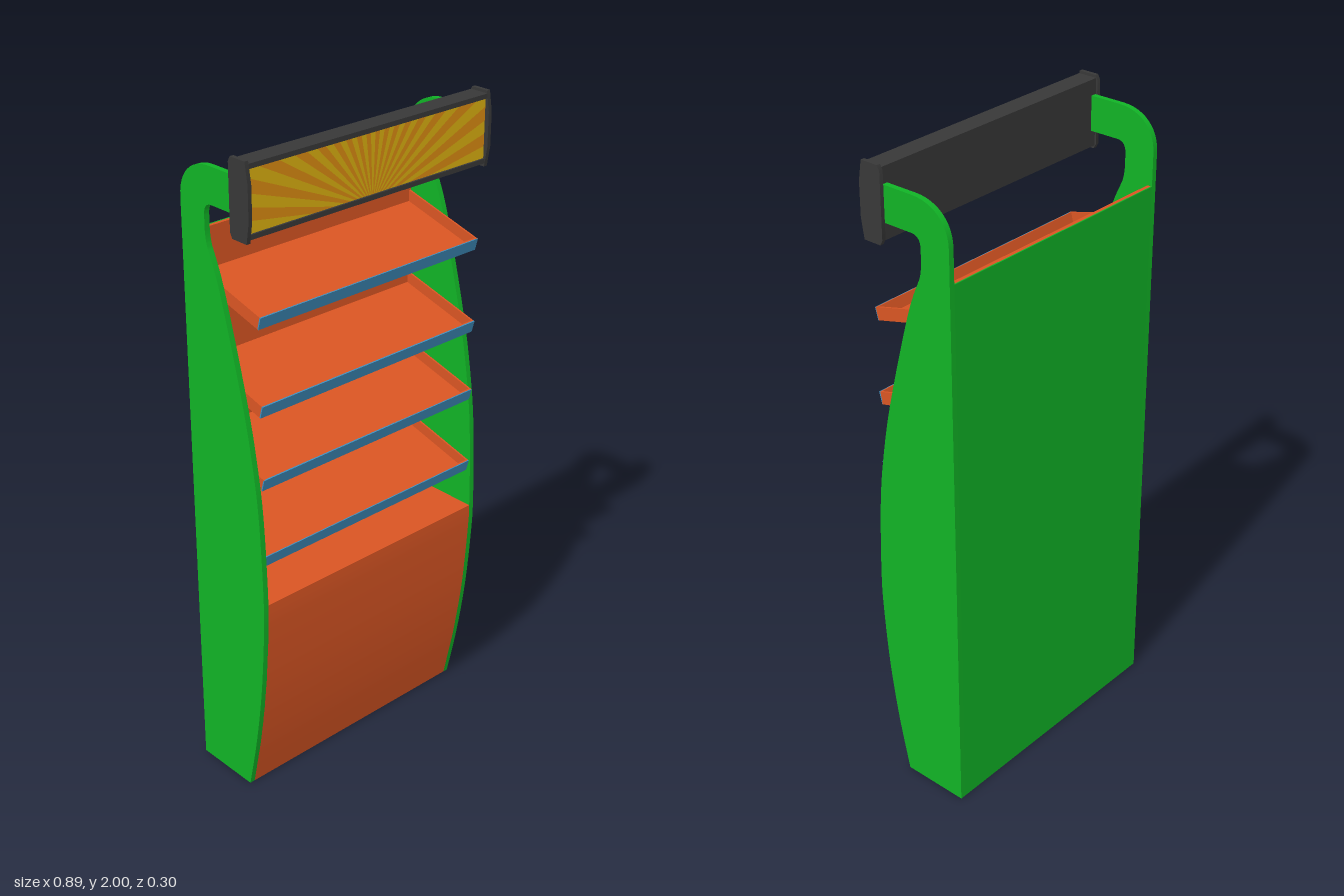
import * as THREE from 'three';
import { toCreasedNormals } from 'three/addons/utils/BufferGeometryUtils.js';

const mat = (name, color, side = THREE.FrontSide) => {
  const m = new THREE.MeshStandardMaterial({ color, side });
  m.name = name;
  return m;
};

export function createModel() {
  const green = mat('green', 0x11b326);
  const orange = mat('orange', 0xd95523);
  const blue = mat('blue', 0x3f90c0);
  const black = mat('charcoal', 0x383838);
  const gold = mat('gold', 0xdcb010, THREE.DoubleSide);
  const amber = mat('amber', 0xdc8c12, THREE.DoubleSide);

  const root = new THREE.Group();
  root.name = 'displayStand';
  const add = (parent, name, geo, material, x = 0, y = 0, z = 0) => {
    const mesh = new THREE.Mesh(geo, material);
    mesh.name = name;
    mesh.position.set(x, y, z);
    parent.add(mesh);
    return mesh;
  };
  const box = (parent, name, material, w, h, d, x, y, z) =>
    add(parent, name, new THREE.BoxGeometry(w, h, d), material, x, y, z);

  // Extrudes a (z, y) outline along x, centred on x = 0
  const extrudeX = (shape, width) => {
    const g = new THREE.ExtrudeGeometry(shape, { depth: width, bevelEnabled: false, curveSegments: 12 });
    g.translate(0, 0, -width / 2).rotateY(-Math.PI / 2);
    return toCreasedNormals(g, 0.5);
  };

  // Bowed front edge shared by the side panels and the base
  const edge = new THREE.SplineCurve([
    [0.065, 0], [0.102, 0.18], [0.13, 0.37], [0.146, 0.56], [0.15, 0.7], [0.139, 0.95],
    [0.118, 1.12], [0.08, 1.31], [0.002, 1.6], [-0.045, 1.72],
  ].map(([z, y]) => new THREE.Vector2(z, y))).getPoints(60);

  // Side panels, each ending in a hooked arm
  const side = new THREE.Shape();
  side.moveTo(-0.15, 0);
  edge.forEach(p => side.lineTo(p.x, p.y));
  side.quadraticCurveTo(-0.052, 1.745, -0.052, 1.77);
  side.lineTo(-0.052, 1.805);
  side.quadraticCurveTo(-0.052, 1.84, -0.02, 1.84);
  side.lineTo(0.08, 1.84);
  side.lineTo(0.08, 1.945);
  side.lineTo(-0.025, 1.945);
  side.bezierCurveTo(-0.1, 1.945, -0.15, 1.9, -0.15, 1.83);
  side.closePath();
  const sideGeo = extrudeX(side, 0.017);
  add(root, 'leftSidePanel', sideGeo, green, 0.4215);
  add(root, 'rightSidePanel', sideGeo, green, -0.4215);

  // Base cabinet
  const low = edge.filter(p => p.y < 0.675);
  const base = new THREE.Shape();
  base.moveTo(-0.14, 0);
  low.forEach(p => base.lineTo(p.x, p.y));
  base.lineTo(0.15, 0.682);
  base.lineTo(-0.14, 0.682);
  base.closePath();
  add(root, 'baseCabinet', extrudeX(base, 0.827), orange);

  // Back wall: orange inside, green outside
  box(root, 'backWall', orange, 0.827, 1.73, 0.012, 0, 0.865, -0.14);
  box(root, 'backCover', green, 0.827, 1.73, 0.005, 0, 0.865, -0.1475);

  // Sloping trays with rails and a blue front strip
  const tilt = 0.265, depth = 0.285;
  [1.57, 1.31, 1.085, 0.84].forEach((top, i) => {
    const tray = new THREE.Group();
    tray.name = `tray${i + 1}`;
    tray.position.set(0, top, 0.141);
    tray.rotation.x = tilt;
    root.add(tray);
    box(tray, 'trayFloor', orange, 0.82, 0.005, depth, 0, -0.0355, -depth / 2);
    for (const s of [-1, 1]) box(tray, 'trayRail', orange, 0.006, 0.038, depth, s * 0.408, -0.019, -depth / 2);
    box(tray, 'trayLip', orange, 0.81, 0.038, 0.005, 0, -0.019, -0.0035);
    box(tray, 'frontStrip', blue, 0.822, 0.038, 0.004, 0, -0.019, 0);
  });

  // Header sign housing with chamfered end caps
  const sign = new THREE.Group();
  sign.name = 'headerSign';
  root.add(sign);
  box(sign, 'signHousing', black, 0.866, 0.2, 0.054, 0, 1.89, 0.102);
  for (const y of [1.797, 1.985]) box(sign, 'signFrame', black, 0.866, 0.014, 0.062, 0, y, 0.106);
  const cap = new THREE.Shape([
    [0.078, 1.78], [0.135, 1.78], [0.145, 1.84], [0.145, 1.94], [0.135, 2], [0.078, 2], [0.07, 1.985], [0.07, 1.795],
  ].map(([z, y]) => new THREE.Vector2(z, y)));
  const capGeo = extrudeX(cap, 0.012);
  for (const s of [-1, 1]) add(sign, s > 0 ? 'leftEndCap' : 'rightEndCap', capGeo, black, s * 0.438);

  // Sunburst face: alternating rays fanning out from just below the panel
  const W = 0.432, y0 = 1.804, y1 = 1.978, oy = 1.77, rays = 37;
  const first = Math.atan2(y0 - oy, W), corner = Math.atan2(y1 - oy, W);
  const step = (Math.PI - 2 * first) / rays;
  const hit = (a, r) => new THREE.Vector2(Math.cos(a) * r, oy + Math.sin(a) * r);
  const inner = a => hit(a, (y0 - oy) / Math.sin(a));
  const outer = a => hit(a, Math.min((y1 - oy) / Math.sin(a), W / Math.max(Math.abs(Math.cos(a)), 1e-6)));
  const shapes = [[], []];
  for (let i = 0; i < rays; i++) {
    const a = first + i * step, b = a + step;
    const pts = [inner(a), outer(a)];
    for (const c of [corner, Math.PI - corner]) if (c > a && c < b) pts.push(outer(c));
    pts.push(outer(b), inner(b));
    shapes[i % 2].push(new THREE.Shape(pts));
  }
  add(sign, 'goldRays', new THREE.ShapeGeometry(shapes[0]), gold, 0, 0, 0.131);
  add(sign, 'amberRays', new THREE.ShapeGeometry(shapes[1]), amber, 0, 0, 0.131);

  return root;
}
